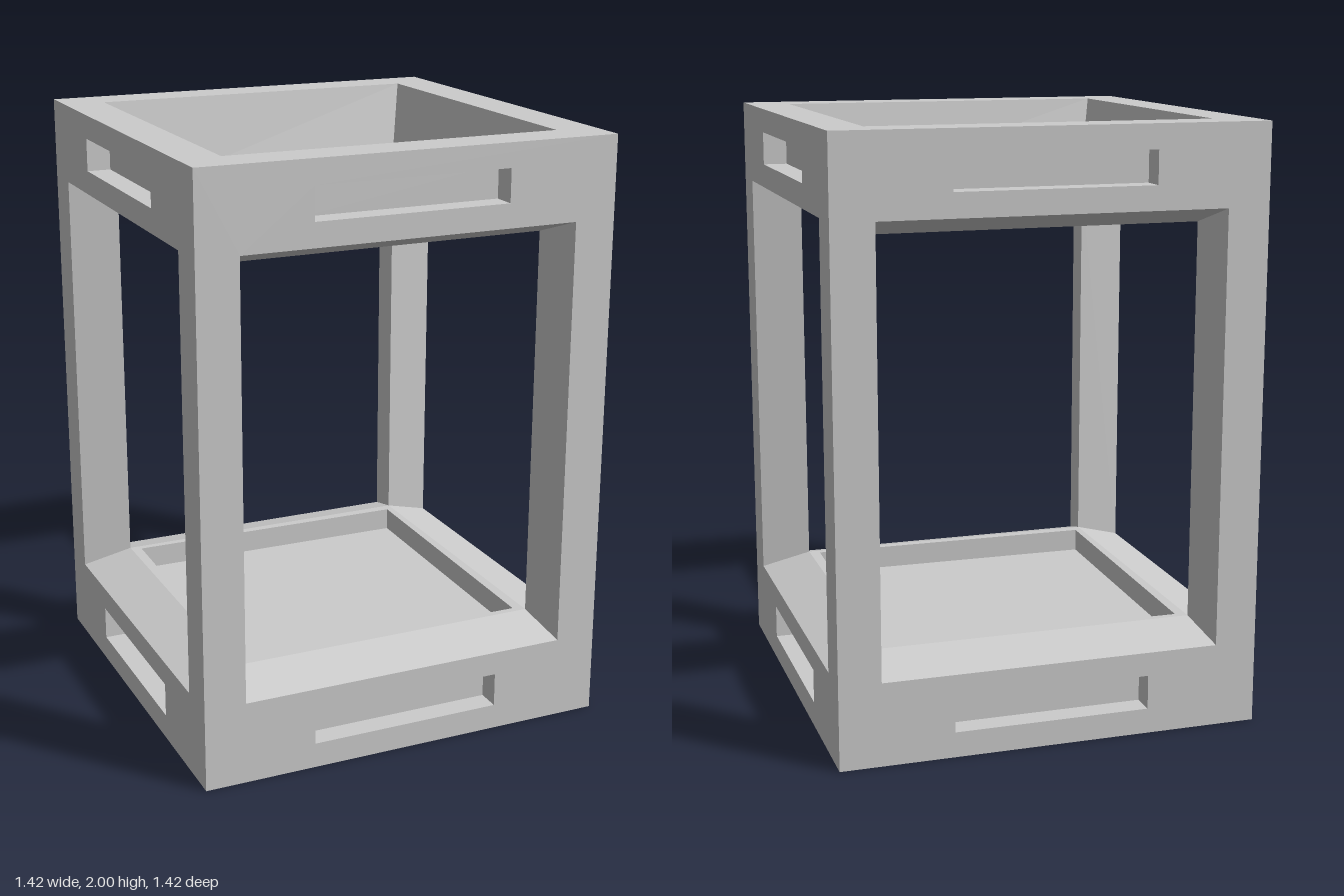
import * as THREE from 'three';

const HALF = 0.71, HEIGHT = 2;          // outer block
const INNER = 0.54, SILL = 0.33, HEAD = 1.67; // inner cage

const material = new THREE.MeshStandardMaterial({ color: 0xcccccc });

// Square loop at height y, counter-clockwise from above, optionally turned slightly
const square = (h, y, turn = 0) =>
  [[-h, h], [h, h], [h, -h], [-h, -h]].map(([x, z]) => [x - turn * z, y, z + turn * x]);

// Upright rectangle loop at depth z, counter-clockwise from the front
const rect = (w, y0, y1, z) => [[-w, y0, z], [w, y0, z], [w, y1, z], [-w, y1, z]];

// Skin between successive four-corner loops, optionally closing the last one
function loft(name, loops, cap = false) {
  const pos = [];
  const quad = (a, b, c, d) => pos.push(...a, ...b, ...c, ...a, ...c, ...d);
  for (let k = 0; k + 1 < loops.length; k++) {
    for (let i = 0; i < 4; i++) {
      const j = (i + 1) % 4;
      quad(loops[k][i], loops[k][j], loops[k + 1][j], loops[k + 1][i]);
    }
  }
  if (cap) quad(...loops[loops.length - 1]);
  const geometry = new THREE.BufferGeometry();
  geometry.setAttribute('position', new THREE.Float32BufferAttribute(pos, 3));
  geometry.computeVertexNormals();
  const mesh = new THREE.Mesh(geometry, material);
  mesh.name = name;
  return mesh;
}

const outline = (loop, Type) => new Type(loop.map(([x, y]) => new THREE.Vector2(x, y)));

// One side: flat face with a bevelled window and two shallow slots
function makeSide() {
  const side = new THREE.Group();
  const windowLoop = rect(0.57, 0.28, 1.73, HALF);
  const slots = { lowerSlot: [0.085, 0.2], upperSlot: [1.81, 1.92] };

  const shape = outline(rect(HALF, 0, HEIGHT, HALF), THREE.Shape);
  shape.holes.push(outline(windowLoop, THREE.Path));

  for (const [name, [y0, y1]] of Object.entries(slots)) {
    const mouth = rect(0.33, y0, y1, HALF);
    shape.holes.push(outline(mouth, THREE.Path));
    side.add(loft(name, [mouth, rect(0.33, y0, y1, HALF - 0.08)], true));
  }

  const face = new THREE.Mesh(new THREE.ShapeGeometry(shape), material);
  face.name = 'sideFace';
  face.position.z = HALF;
  side.add(face);
  side.add(loft('windowBevel', [windowLoop, rect(INNER, SILL, HEAD, INNER)]));
  return side;
}

export function createModel() {
  const model = new THREE.Group();
  model.name = 'lanternFrame';

  ['frontSide', 'leftSide', 'backSide', 'rightSide'].forEach((name, i) => {
    const side = makeSide();
    side.name = name;
    side.rotation.y = i * Math.PI / 2;
    model.add(side);
  });

  // Top rim, sloping opening and underside
  const turn = 0.012;
  model.add(loft('topFrame', [
    square(HALF, HEIGHT), square(0.57, HEIGHT),
    square(0.51, HEAD, turn), square(INNER, HEAD),
  ]));

  // Recessed floor tray
  model.add(loft('floorTray', [
    square(INNER, SILL), square(0.51, SILL, turn), square(0.51, 0.25, turn),
  ], true));

  // Underside of the base
  model.add(loft('baseUnderside', [square(HALF, 0).reverse()], true));
  return model;
}
